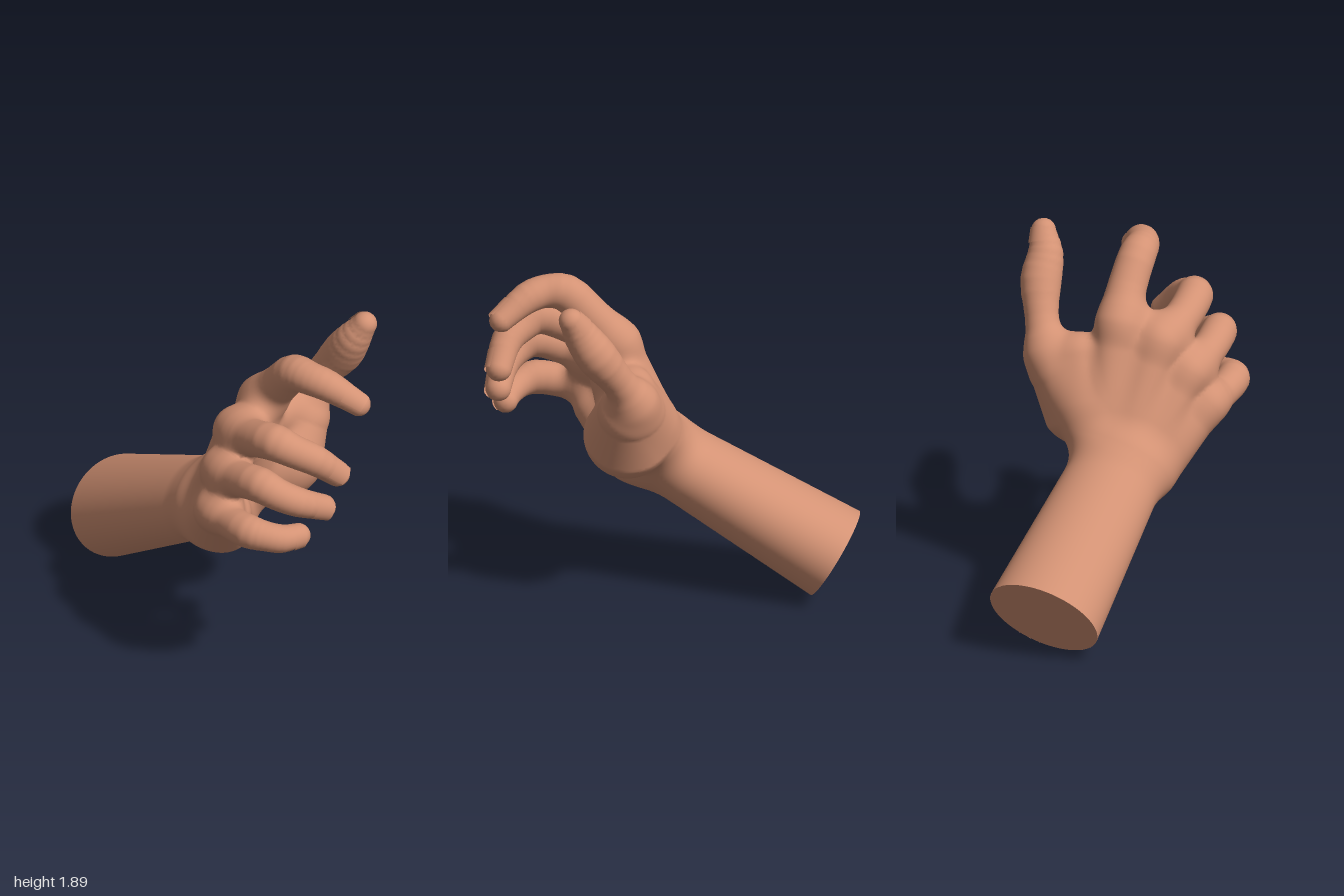
import * as THREE from 'three';

// Each bone is a rounded, tapering bar between two points: [x, y, z, radius]
const palmBones = [
  [[0.07, 0.89, -0.05, 0.14], [0.3, 1.45, -0.01, 0.112]],   // index metacarpal
  [[0.07, 0.82, 0.06, 0.15], [0.33, 1.36, 0.2, 0.112]],     // middle metacarpal
  [[0.09, 0.76, 0.15, 0.15], [0.37, 1.19, 0.34, 0.108]],    // ring metacarpal
  [[0.13, 0.71, 0.2, 0.15], [0.41, 1.0, 0.43, 0.105]],      // little metacarpal
  [[0.18, 0.85, 0.04, 0.16], [0.34, 1.25, 0.15, 0.12]],     // palm centre
  [[0.22, 0.95, -0.02, 0.17], [0.32, 1.34, 0.06, 0.115]],
  [[0.21, 0.72, 0.185, 0.165], [0.395, 0.93, 0.34, 0.13]],  // heel of the hand
  [[0.25, 1.0, -0.195, 0.235], [0.245, 1.18, -0.325, 0.17]], // ball of the thumb
  [[0.1, 0.96, -0.12, 0.14], [0.22, 1.28, -0.38, 0.105]],   // thumb metacarpal
  [[0.13, 1.05, -0.13, 0.125], [0.22, 1.28, -0.21, 0.11]],  // muscle behind the thumb
  [[0.23, 1.26, -0.36, 0.095], [0.28, 1.29, -0.08, 0.085]], // web of the thumb
  [[0.36, 1.49, 0.0, 0.085], [0.4, 1.38, 0.22, 0.085]],     // webs between the fingers
  [[0.4, 1.38, 0.22, 0.085], [0.44, 1.2, 0.36, 0.085]],
  [[0.44, 1.2, 0.36, 0.085], [0.47, 1.01, 0.44, 0.085]],
];

// Joints from knuckle to tip
const digits = {
  thumb: [[0.22, 1.27, -0.39, 0.11], [0.31, 1.43, -0.445, 0.09], [0.42, 1.59, -0.485, 0.11],
    [0.5, 1.71, -0.485, 0.095], [0.56, 1.82, -0.515, 0.066]],
  indexFinger: [[0.3, 1.45, -0.01, 0.12], [0.44, 1.61, -0.01, 0.105], [0.57, 1.74, 0.005, 0.1],
    [0.68, 1.755, 0, 0.089], [0.78, 1.735, -0.04, 0.084], [0.92, 1.648, -0.128, 0.065]],
  middleFinger: [[0.33, 1.36, 0.2, 0.118], [0.52, 1.425, 0.265, 0.1], [0.71, 1.485, 0.28, 0.099],
    [0.8, 1.45, 0.23, 0.089], [0.88, 1.4, 0.155, 0.083], [0.928, 1.288, 0.038, 0.07]],
  ringFinger: [[0.37, 1.19, 0.34, 0.113], [0.54, 1.235, 0.395, 0.096], [0.73, 1.285, 0.41, 0.095],
    [0.82, 1.25, 0.37, 0.086], [0.89, 1.2, 0.29, 0.08], [0.928, 1.122, 0.14, 0.068]],
  littleFinger: [[0.41, 1.0, 0.43, 0.11], [0.55, 1.005, 0.47, 0.09], [0.72, 1.025, 0.49, 0.091],
    [0.8, 1.015, 0.45, 0.081], [0.86, 0.995, 0.38, 0.076], [0.885, 0.985, 0.28, 0.065]],
};
const digitNames = Object.keys(digits);

// Joints smoothed into finer chains, radius included
const chains = {};
for (const n of digitNames) {
  const path = new THREE.CatmullRomCurve3(digits[n].map((p) => new THREE.Vector3(p[0], p[1], p[2])));
  const girth = new THREE.SplineCurve(digits[n].map((p, i) => new THREE.Vector2(i, p[3])));
  const steps = (digits[n].length - 1) * 3;
  chains[n] = Array.from({ length: steps + 1 }, (_, i) => [...path.getPoint(i / steps).toArray(), girth.getPoint(i / steps).y]);
}

// Forearm: a tapering elliptical bar with its own axis frame, rolled slightly
const armStart = new THREE.Vector3(-0.858, 0.226, -0.06);
const armEnd = new THREE.Vector3(0.035, 0.755, 0.085);
const armLength = armStart.distanceTo(armEnd);
const axis = armEnd.clone().sub(armStart).normalize();
const side = new THREE.Vector3(0, 0, 1).addScaledVector(axis, -axis.z).normalize().applyAxisAngle(axis, 0.2);
const rise = side.clone().cross(axis).normalize();
const WIDE = [0.31, 0.25], DEEP = [0.257, 0.2];

const along = (x, y, z) =>
  (x - armStart.x) * axis.x + (y - armStart.y) * axis.y + (z - armStart.z) * axis.z;

function forearmDistance(x, y, z) {
  const dx = x - armStart.x, dy = y - armStart.y, dz = z - armStart.z;
  const s = along(x, y, z);
  const t = Math.min(1, Math.max(0, s / armLength));
  const a = WIDE[0] + (WIDE[1] - WIDE[0]) * t, b = DEEP[0] + (DEEP[1] - DEEP[0]) * t, c = 0.15;
  const u = (dx * side.x + dy * side.y + dz * side.z) / a;
  const v = (dx * rise.x + dy * rise.y + dz * rise.z) / b;
  const w = Math.max(0, s - armLength) / c;
  const k0 = Math.sqrt(u * u + v * v + w * w);
  const k1 = Math.sqrt((u / a) ** 2 + (v / b) ** 2 + (w / c) ** 2);
  return k1 < 1e-6 ? -b : k0 * (k0 - 1) / k1;
}

function boneDistance(x, y, z, p, q) {
  const bx = q[0] - p[0], by = q[1] - p[1], bz = q[2] - p[2];
  const ax = x - p[0], ay = y - p[1], az = z - p[2];
  const t = Math.min(1, Math.max(0, (ax * bx + ay * by + az * bz) / (bx * bx + by * by + bz * bz)));
  const ex = ax - bx * t, ey = ay - by * t, ez = az - bz * t;
  return Math.sqrt(ex * ex + ey * ey + ez * ez) - p[3] - (q[3] - p[3]) * t;
}

function blend(a, b, k) {
  const h = Math.max(k - Math.abs(a - b), 0) / k;
  return Math.min(a, b) - h * h * k / 4;
}

function palmDistance(x, y, z) {
  let d = 9;
  for (const [p, q] of palmBones) d = blend(d, boneDistance(x, y, z, p, q), 0.07);
  return d;
}

function digitDistance(x, y, z, pts) {
  let d = 9;
  for (let i = 1; i < pts.length; i++) d = Math.min(d, boneDistance(x, y, z, pts[i - 1], pts[i]));
  return d;
}

// Whole skin: digits melt into the hand but not into each other
function skinDistance(x, y, z) {
  const body = blend(forearmDistance(x, y, z), palmDistance(x, y, z), 0.12);
  if (x < 0) return body;
  let d = body;
  for (const n of digitNames) d = Math.min(d, blend(body, digitDistance(x, y, z, chains[n]), 0.06));
  return d;
}

function partAt(x, y, z) {
  let name = 'forearm', best = forearmDistance(x, y, z);
  const test = (n, d) => { if (d < best) { best = d; name = n; } };
  test('palm', palmDistance(x, y, z));
  for (const n of digitNames) test(n, digitDistance(x, y, z, chains[n]));
  return name;
}

// Wraps the skin in quads on a regular grid and sorts them by part
function buildSkin() {
  const h = 0.018, min = [-1.13, -0.13, -0.68];
  const n = [123, 117, 76], stride = [1, n[0], n[0] * n[1]];
  const field = new Float32Array(n[0] * n[1] * n[2]);
  for (let k = 0, i = 0; k < n[2]; k++) for (let j = 0; j < n[1]; j++) for (let m = 0; m < n[0]; m++)
    field[i++] = skinDistance(min[0] + m * h, min[1] + j * h, min[2] + k * h);

  const cellVertex = new Int32Array(field.length).fill(-1);
  const positions = [], normals = [], labels = [], cut = [];
  const gradient = (p) => [0, 1, 2].map((a) => {
    const lo = [...p], hi = [...p];
    lo[a] -= 0.012; hi[a] += 0.012;
    return (skinDistance(...hi) - skinDistance(...lo)) / 0.024;
  });

  // One vertex per crossed cell, pulled onto the surface
  const addVertex = (cell, c) => {
    const p = [0, 0, 0];
    let hits = 0;
    for (let a = 0; a < 3; a++) for (let e = 0; e < 4; e++) {
      const o = [0, 0, 0];
      o[(a + 1) % 3] = e & 1; o[(a + 2) % 3] = e >> 1;
      const i = cell + o[0] * stride[0] + o[1] * stride[1] + o[2] * stride[2];
      const f0 = field[i], f1 = field[i + stride[a]];
      if ((f0 < 0) === (f1 < 0)) continue;
      o[a] = f0 / (f0 - f1);
      hits++;
      for (let b = 0; b < 3; b++) p[b] += o[b];
    }
    if (!hits) return;
    for (let b = 0; b < 3; b++) p[b] = min[b] + (c[b] + p[b] / hits) * h;
    const g = gradient(p), d = skinDistance(...p), len2 = Math.max(0.3, g[0] ** 2 + g[1] ** 2 + g[2] ** 2);
    for (let b = 0; b < 3; b++) p[b] -= g[b] * d / len2;
    const normal = new THREE.Vector3(...gradient(p)).normalize();
    const s = along(...p);
    const v = new THREE.Vector3(...p);
    if (s < 0) v.addScaledVector(axis, -s);   // trim flat at the forearm cut
    cellVertex[cell] = cut.length;
    cut.push(s <= 0);
    labels.push(partAt(...p));
    positions.push(v.x, v.y, v.z);
    normals.push(normal.x, normal.y, normal.z);
  };
  const eachCell = (from, visit) => {
    for (let k = from; k < n[2] - 1; k++) for (let j = from; j < n[1] - 1; j++) for (let m = from; m < n[0] - 1; m++)
      visit(m + j * stride[1] + k * stride[2], [m, j, k]);
  };
  eachCell(0, addVertex);

  const faces = {};
  eachCell(1, (i) => {
    for (let a = 0; a < 3; a++) {
      const inside = field[i] < 0;
      if (inside === (field[i + stride[a]] < 0)) continue;
      const b = stride[(a + 1) % 3], c = stride[(a + 2) % 3];
      const q = [i, i - b, i - b - c, i - c].map((cell) => cellVertex[cell]);
      if (q.some((v) => v < 0) || q.every((v) => cut[v])) continue;
      if (!inside) q.reverse();
      (faces[labels[q[0]]] ??= []).push(q[0], q[1], q[2], q[0], q[2], q[3]);
    }
  });
  return { faces, position: new THREE.Float32BufferAttribute(positions, 3), normal: new THREE.Float32BufferAttribute(normals, 3) };
}

// Thin curved plate on the back of a fingertip
function makeNail(pts, material, back) {
  const [pip, dip, tip] = [pts.at(-4), pts.at(-2), pts.at(-1)].map((p) => new THREE.Vector3(...p));
  const r0 = pts.at(-2)[3], r1 = pts.at(-1)[3];
  const dir = tip.clone().sub(dip), length = dir.length();
  dir.normalize();
  const out = back ?? dip.clone().multiplyScalar(2).sub(pip).sub(tip);
  out.addScaledVector(dir, -out.dot(dir)).normalize();
  const from = 0.5, to = 1.15, radius = (t) => r0 + (r1 - r0) * t + 0.007;
  const plate = new THREE.CylinderGeometry(radius(to), radius(from), length * (to - from), 14, 4, true, -0.75, 1.5);
  plate.applyMatrix4(new THREE.Matrix4().makeBasis(dir.clone().cross(out), dir, out));
  const mid = dip.addScaledVector(dir, length * (from + to) / 2);
  return new THREE.Mesh(plate.translate(mid.x, mid.y, mid.z), material);
}

export function createModel() {
  const skin = new THREE.MeshStandardMaterial({ color: 0xd39274, side: THREE.DoubleSide });
  skin.name = 'skin';
  const model = new THREE.Group();
  model.name = 'hand';
  const add = (mesh, name) => { mesh.name = name; model.add(mesh); };

  const { faces, position, normal } = buildSkin();
  for (const [name, index] of Object.entries(faces)) {
    const geometry = new THREE.BufferGeometry();
    geometry.setAttribute('position', position);
    geometry.setAttribute('normal', normal);
    geometry.setIndex(index);
    add(new THREE.Mesh(geometry, skin), name);
  }

  // Flat end of the forearm
  const cap = new THREE.CircleGeometry(1, 64).scale(WIDE[0], DEEP[0], 1);
  cap.applyMatrix4(new THREE.Matrix4().makeBasis(side.clone().negate(), rise, axis.clone().negate()).setPosition(armStart));
  add(new THREE.Mesh(cap, skin), 'forearmEnd');

  for (const name of digitNames)
    add(makeNail(digits[name], skin, name === 'thumb' ? new THREE.Vector3(-0.7, 0.5, -0.5) : null), name + 'Nail');
  return model;
}
